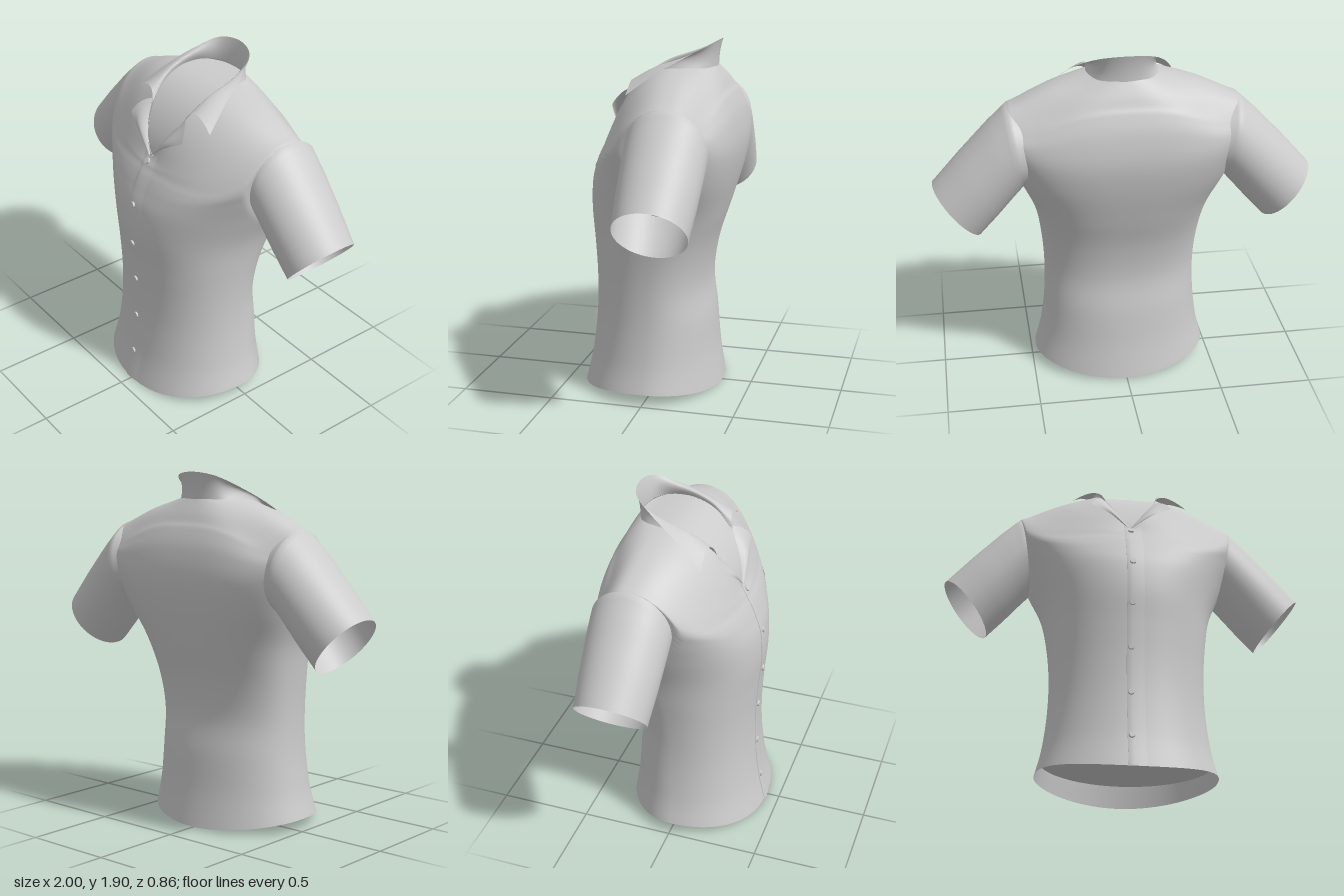
import * as THREE from 'three';
import { ParametricGeometry } from 'three/addons/geometries/ParametricGeometry.js';
import { mergeVertices } from 'three/addons/utils/BufferGeometryUtils.js';

const V = (x, y, z) => new THREE.Vector3(x, y, z);
const fabric = new THREE.MeshStandardMaterial({ color: 0xcccccc, side: THREE.DoubleSide });

// Body rings, hem to neckline:
// halfWidth, yFront, ySide, yBack, zFront, zBack, zCentre, backRoundness, frontDip, cornerDrop
const RINGS = [
  [0.48, 0.0, 0.06, 0.01, 0.425, -0.34, 0.0, 1.03, 2, 0],
  [0.445, 0.18, 0.2, 0.2, 0.385, -0.31, 0.0, 0.98, 2, 0],
  [0.42, 0.4, 0.4, 0.4, 0.36, -0.29, 0.0, 0.92, 2, 0],
  [0.415, 0.6, 0.6, 0.6, 0.355, -0.265, 0.0, 0.88, 2, 0],
  [0.43, 0.8, 0.8, 0.8, 0.365, -0.29, -0.02, 0.83, 2, 0],
  [0.465, 0.99, 1.0, 1.0, 0.38, -0.35, -0.07, 0.78, 2, 0],
  [0.54, 1.14, 1.19, 1.2, 0.37, -0.405, -0.13, 0.71, 2, 0],
  [0.605, 1.24, 1.35, 1.36, 0.34, -0.428, -0.14, 0.67, 1.9, 0.01],
  [0.65, 1.31, 1.5, 1.51, 0.312, -0.412, -0.15, 0.67, 1.8, 0.06],
  [0.64, 1.35, 1.592, 1.61, 0.29, -0.378, -0.15, 0.67, 1.6, 0.09],
  [0.55, 1.37, 1.637, 1.65, 0.28, -0.355, -0.15, 0.68, 1.5, 0.065],
  [0.38, 1.39, 1.71, 1.7, 0.265, -0.33, -0.14, 0.76, 1.4, 0.025],
  [0.178, 1.41, 1.768, 1.765, 0.25, -0.29, -0.13, 0.85, 1.3, 0],
];
const FRONT_ROUNDNESS = 0.92;

// Ring values at height parameter v (0 hem, 1 neckline), smoothly interpolated
function ringAt(v) {
  const n = RINGS.length - 1, f = Math.min(v * n, n - 1e-6), i = Math.floor(f), t = f - i;
  const r = (k) => RINGS[Math.max(0, Math.min(n, k))];
  return RINGS[0].map((_, k) => {
    const a = r(i - 1)[k], b = r(i)[k], c = r(i + 1)[k], d = r(i + 2)[k];
    return b + 0.5 * t * (c - a + t * (2 * a - 5 * b + 4 * c - d + t * (3 * (b - c) + d - a)));
  });
}

// Point on the body; angle 0 is the left side, PI / 2 the front
function bodyPoint(v, angle, target = V(0, 0, 0)) {
  const [w, yF, yS, yB, zF, zB, zC, pB, q, drop] = ringAt(v);
  const c = Math.cos(angle), s = Math.sin(angle), front = s > 0;
  const p = front ? FRONT_ROUNDNESS : pB;
  const z = zC + ((front ? zF : zB) - zC) * Math.abs(s) ** p;
  const y = (front ? yS + (yF - yS) * (1 - Math.abs(c) ** q) : yS + (yB - yS) * s * s) - drop * 4 * s * s * c * c;
  // the sides are cut flat at the sleeve seam
  const seam = 0.53 + 0.16 * Math.max(0, y - 1.18);
  const x = Math.sign(c) * Math.min(w * Math.abs(c) ** p, seam);
  return target.set(x, y, z);
}

// Point on the front of the body at a given x
function frontPoint(v, x, lift = 0) {
  const c = Math.sign(x) * (Math.abs(x) / ringAt(v)[0]) ** (1 / FRONT_ROUNDNESS);
  const p = bodyPoint(v, Math.acos(c));
  p.z += lift;
  return p;
}

// Height parameter where the front reaches height y at a given x
function frontLevel(y, x) {
  let lo = 0, hi = 1;
  for (let i = 0; i < 30; i++) {
    const mid = (lo + hi) / 2;
    if (frontPoint(mid, x).y < y) lo = mid; else hi = mid;
  }
  return lo;
}

// Smooth surface from a rule (u, v, target)
function sheet(name, rule, nu, nv) {
  let g = new ParametricGeometry(rule, nu, nv);
  g.deleteAttribute('uv');
  g.deleteAttribute('normal');
  g = mergeVertices(g, 1e-5);
  g.computeVertexNormals();
  const mesh = new THREE.Mesh(g, fabric);
  mesh.name = name;
  return mesh;
}

// Surface spanning three edge curves
function sheetThrough(name, edges, nu, nv) {
  const [a, b, c] = edges.map((pts) => new THREE.CatmullRomCurve3(pts));
  return sheet(name, (u, v, target) => {
    target.set(0, 0, 0)
      .addScaledVector(a.getPoint(u), (1 - v) * (1 - 2 * v))
      .addScaledVector(b.getPoint(u), 4 * v * (1 - v))
      .addScaledVector(c.getPoint(u), v * (2 * v - 1));
  }, nu, nv);
}

// Lining that closes an opening, spanned between the two halves of its ring
function lining(name, ring) {
  const centre = ring(0).lerp(ring(Math.PI), 0.5);
  return sheet(name, (u, v, target) => {
    const a = Math.PI * v;
    target.lerpVectors(ring(Math.PI / 2 + a), ring(Math.PI / 2 - a), u).lerp(centre, 0.012);
  }, 12, 48);
}

// Sleeve rings: centre x, centre y, half axis x, half axis y, half depth
const SLEEVE = [
  [0.5, 1.4, 0.03, 0.2, 0.195],
  [0.563, 1.4, 0.038, 0.219, 0.214],
  [0.64, 1.322, 0.062, 0.202, 0.211],
  [0.76, 1.19, 0.098, 0.17, 0.203],
  [0.878, 1.058, 0.122, 0.143, 0.19],
];
function sleevePoint(side, v, angle, target = V(0, 0, 0)) {
  const n = SLEEVE.length - 1, f = Math.min(v * n, n - 1e-6), i = Math.floor(f);
  const [cx, cy, ax, ay, az] = SLEEVE[i].map((a, k) => THREE.MathUtils.lerp(a, SLEEVE[i + 1][k], f - i));
  const c = Math.cos(angle);
  return target.set(side * (cx + ax * c), cy + ay * c, -0.155 + side * az * Math.sin(angle));
}

// Collar: neck edge, roll and outer edge, mirrored from the back centre
function collar() {
  const mirrored = (half) => [
    ...half.slice(1).reverse().map((p) => V(-p.x, p.y, p.z)),
    ...half,
  ];
  return sheetThrough('collar', [
    mirrored([-Math.PI / 2, -0.8, -0.05, 0.4, 0.8].map((a) => bodyPoint(0.995, a))),
    mirrored([V(0, 1.835, -0.297), V(0.12, 1.828, -0.262), V(0.172, 1.812, -0.14), V(0.188, 1.77, 0), V(0.198, 1.7, 0.125)]),
    mirrored([V(0, 1.905, -0.313), V(0.125, 1.887, -0.28), V(0.2, 1.828, -0.17), V(0.262, 1.742, -0.02), V(0.32, 1.635, 0.125)]),
  ], 64, 8);
}

// Open front lapel folded back below the collar
function lapel(side) {
  const edge = (pts) => pts.map(([x, y, z]) => V(side * x - 0.015 * (1 - x / 0.22), y, z));
  return sheetThrough(side > 0 ? 'leftLapel' : 'rightLapel', [
    edge([[0, 1.41, 0.251], [0.075, 1.53, 0.21], [0.145, 1.65, 0.14]]),
    edge([[0.003, 1.41, 0.26], [0.1, 1.525, 0.245], [0.19, 1.625, 0.185]]),
    edge([[0.006, 1.41, 0.258], [0.125, 1.51, 0.248], [0.22, 1.57, 0.225]]),
  ], 16, 8);
}

export function createModel() {
  const shirt = new THREE.Group();
  shirt.name = 'shirt';

  shirt.add(sheet('body', (u, v, target) => bodyPoint(v, -u * Math.PI * 2, target), 160, 84));
  shirt.add(collar());
  for (const side of [1, -1]) {
    const label = side > 0 ? 'left' : 'right';
    shirt.add(sheet(label + 'Sleeve', (u, v, target) => sleevePoint(side, v, u * Math.PI * 2, target), 48, 16));
    shirt.add(lining(label + 'SleeveLining', (a) => sleevePoint(side, 0.6, a)));
    shirt.add(lapel(side));
  }
  shirt.add(lining('neckLining', (a) => bodyPoint(0.985, a)));
  shirt.add(lining('hemLining', (a) => bodyPoint(0.055, a)));

  // Overlapping front edge: x and lift across the strip
  const overlap = [[-0.045, -0.002], [-0.045, 0.006], [-0.015, 0.005], [0.02, 0.003], [0.06, -0.001]];
  shirt.add(sheet('placket', (u, v, target) => {
    const [x, lift] = overlap[Math.round(u * 4)];
    target.copy(frontPoint(v * 0.97, x, lift));
  }, 4, 72));

  // Chest pocket welt
  shirt.add(sheet('pocketWelt', (u, v, target) => {
    const x = 0.22 + 0.17 * u;
    const y = 1.24 + 0.02 * u + 0.022 * v;
    target.copy(frontPoint(frontLevel(y, x), x, 0.003));
  }, 10, 2));

  // Buttons down the front
  const buttonShape = new THREE.CylinderGeometry(0.015, 0.018, 0.014, 20).rotateX(Math.PI / 2);
  const buttons = new THREE.Group();
  buttons.name = 'buttons';
  for (const [x, y] of [[-0.01, 1.385], [-0.014, 1.15], [-0.018, 0.905], [-0.022, 0.66], [-0.024, 0.41], [-0.024, 0.17]]) {
    const v = frontLevel(y, x);
    const below = frontPoint(Math.max(v - 0.02, 0), x), above = frontPoint(Math.min(v + 0.02, 1), x);
    const button = new THREE.Mesh(buttonShape, fabric);
    button.name = 'button';
    button.position.copy(frontPoint(v, x, 0.007));
    button.rotation.x = Math.atan2(above.z - below.z, above.y - below.y);
    buttons.add(button);
  }
  shirt.add(buttons);
  return shirt;
}
